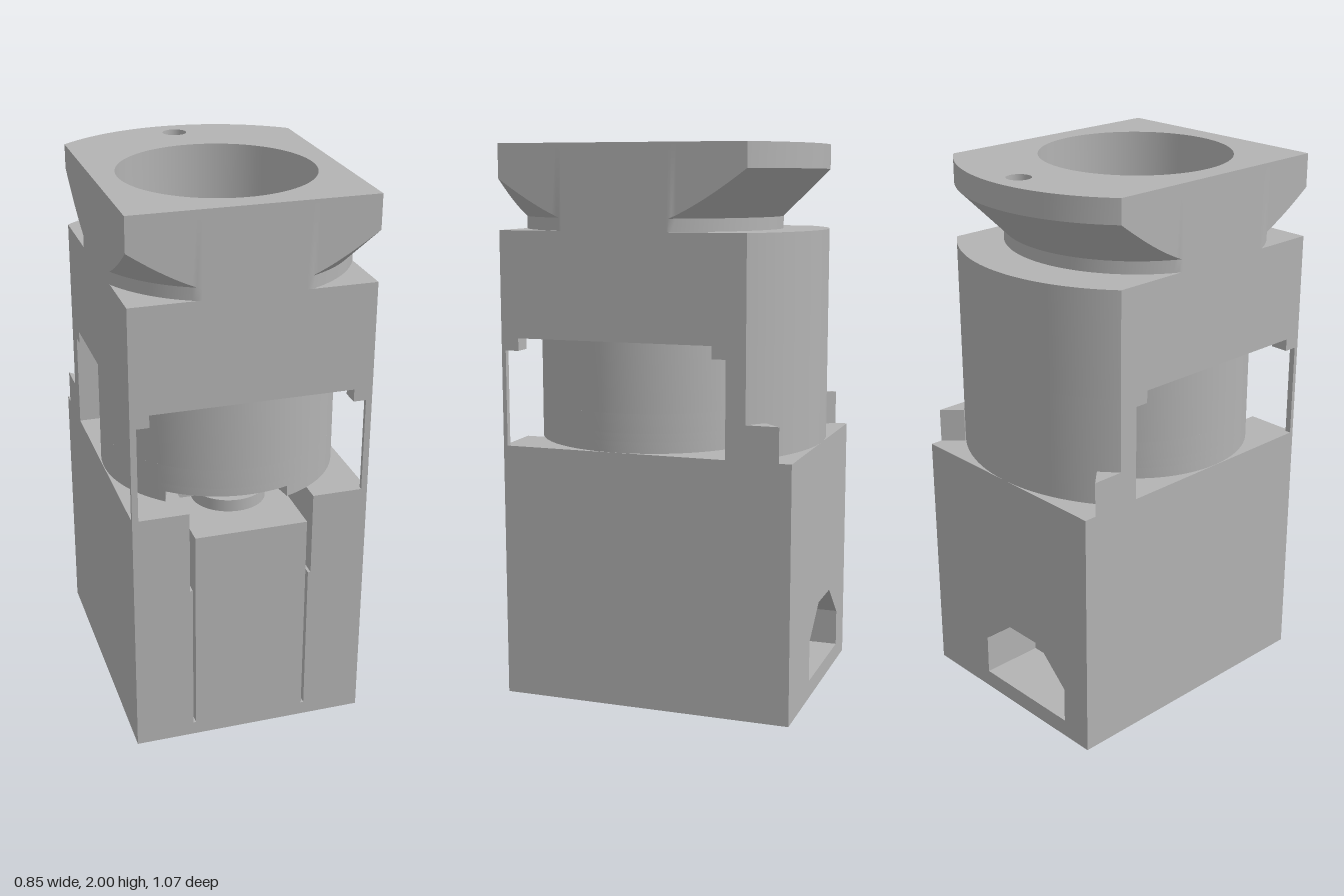
import * as THREE from 'three';
import { toCreasedNormals } from 'three/addons/utils/BufferGeometryUtils.js';

const W = 0.427, D = 0.535;      // half width and half depth
const CZ = 0.105;                // z of the bore axis
const R_BACK = 0.64, R_DRUM = 0.425, R_BORE = 0.345, R_NECK = 0.472;
const FLOOR = 1.0;               // bore floor height

export function createModel() {
  const group = new THREE.Group();
  const grey = new THREE.MeshStandardMaterial({ color: 0xb3b3b3, side: THREE.DoubleSide });
  grey.name = 'plain grey';

  const add = (name, geo, x = 0, y = 0, z = 0) => {
    const mesh = new THREE.Mesh(geo, grey);
    mesh.name = name;
    mesh.position.set(x, y, z);
    group.add(mesh);
    return mesh;
  };
  const box = (name, x0, x1, y0, y1, z0, z1) =>
    add(name, new THREE.BoxGeometry(x1 - x0, y1 - y0, z1 - z0), (x0 + x1) / 2, (y0 + y1) / 2, (z0 + z1) / 2);
  const poly = (pts) => new THREE.Shape(pts.map(([a, b]) => new THREE.Vector2(a, b)));
  // plan shapes are drawn with (x, z) and stand upright from y0 to y1
  const plan = (pts) => poly(pts.map(([x, z]) => [x, -z]));
  const slab = (name, shape, y0, y1) => {
    const g = new THREE.ExtrudeGeometry(shape, { depth: y1 - y0, bevelEnabled: false });
    g.rotateX(-Math.PI / 2);
    return add(name, toCreasedNormals(g, 0.5), 0, y0, 0);
  };
  // elevation shapes are drawn with (x, y) and run from z0 to z1
  const wall = (name, shape, z0, z1) =>
    add(name, new THREE.ExtrudeGeometry(shape, { depth: z1 - z0, bevelEnabled: false }), 0, 0, z0);
  const arc = (r, a0, a1, n = 64, z = CZ) => Array.from({ length: n + 1 }, (_, i) => {
    const a = a0 + (a1 - a0) * i / n;
    return [r * Math.cos(a), z + r * Math.sin(a)];
  });
  const circle = (r, z = CZ, n = 96) => arc(r, 0, Math.PI * 2 * (n - 1) / n, n - 1, z);
  const withHoles = (shape, ...holes) => {
    shape.holes.push(...holes.map((h) => plan(h)));
    return shape;
  };

  // Outline of the upper block: straight front and sides, rounded back
  const backAngle = Math.acos(W / R_BACK);
  const backArc = arc(R_BACK, -Math.PI + backAngle, -backAngle);
  const outline = [[W, D], [-W, D], ...backArc];

  // ---- Lower housing ----
  const backWall = poly([[-W, 0], [W, 0], [W, 0.93], [-W, 0.93]]);
  backWall.holes.push(poly([[0.135, 0.065], [0.135, 0.215], [0, 0.325], [-0.17, 0.325], [-0.305, 0.2], [-0.305, 0.065]]));
  wall('housingBackWithCableOpening', backWall, -D, -0.3);
  box('housingCore', -W, W, 0, 0.93, -0.3, -0.1);
  const notch = [[0.225, 0.93], [0.225, 0.62], [0.215, 0.62], [0.215, 0.05], [0.205, 0.05], [0.205, 0.83]];
  const mirrored = notch.map(([x, y]) => [-x, y]).reverse();
  wall('housingFrontWithMotor', poly([[-W, 0], [W, 0], [W, 0.93], ...notch, ...mirrored, [-W, 0.93]]), -0.1, D);

  // Motor boss and shaft in the recess
  add('motorBoss', new THREE.CylinderGeometry(0.135, 0.135, 0.045, 48), 0, 0.8525, CZ + 0.15);
  add('motorShaft', new THREE.CylinderGeometry(0.06, 0.06, 0.07, 32), 0, 0.88, CZ + 0.15);
  box('motorPlate', -0.22, 0.22, 0.9, 0.97, -0.1, 0.36);

  // Locating tabs at the back corners
  for (const s of [-1, 1]) {
    slab('cornerTab', plan([[s * W, -0.37], [s * W, -0.49], [s * 0.365, -0.425]]), 0.93, 1.055);
  }

  // ---- Drum inside the window ----
  const skirt = circle(R_DRUM).map(([x, z]) => (z > 0.3 && x > -0.27 && x < 0.13 ? [x, 0.36] : [x, z]));
  slab('drumSkirt', plan(skirt), 0.93, 0.97);
  slab('drumFloor', plan(circle(R_DRUM)), 0.97, FLOOR);
  slab('drumLower', withHoles(plan(circle(R_DRUM)), circle(R_BORE)), FLOOR, 1.07);
  const flat = Math.asin(0.365 / R_DRUM);
  slab('drumUpper', withHoles(plan(arc(R_DRUM, -flat, Math.PI + flat, 90)), circle(R_BORE)), 1.07, 1.32);

  // Sloping lip over the slot behind the drum
  const lip = new THREE.ExtrudeGeometry(poly([[0.255, 1.19], [0.3, 1.27], [0.3, 1.32], [0.255, 1.32]]), { depth: 0.44, bevelEnabled: false });
  lip.rotateY(Math.PI / 2);
  add('slotLip', lip, -0.22, 0, 0);

  // ---- Window frame ----
  slab('backBlock', plan([[W, -0.3], [-W, -0.3], ...backArc]), 0.93, 1.32);
  for (const s of [-1, 1]) {
    const [a, b] = s > 0 ? [0.36, W] : [-W, -0.36];
    const [c, d] = s > 0 ? [0.405, W] : [-W, -0.405];
    box('frontRoofStep', a, b, 1.275, 1.32, 0.47, D);
    box('backRoofStep', a, b, 1.275, 1.32, -0.3, -0.25);
    box('cornerPost', c, d, 0.93, 1.275, 0.52, D);
  }
  slab('upperBlock', withHoles(plan(outline), circle(R_BORE)), 1.32, 1.7);

  // ---- Mounting head with conical dovetail groove ----
  const reach = (a) => {
    const c = Math.abs(Math.cos(a)), s = Math.sin(a);
    return Math.min(R_BACK, W / Math.max(c, 1e-6), s > 0 ? (D - CZ) / Math.max(s, 1e-6) : 9);
  };
  const side = Math.acos(W / R_NECK), front = Math.asin((D - CZ) / R_NECK);
  const keys = [Math.atan2(D - CZ, W), -backAngle, side, -side, front];
  const angles = [...keys, ...keys.map((a) => Math.PI - a)].map((a) => (a + Math.PI * 2) % (Math.PI * 2));
  for (let i = 0; i < 192; i++) angles.push(i / 192 * Math.PI * 2);
  angles.sort((a, b) => a - b);
  const pos = [], idx = [];
  angles.forEach((a, i) => {
    const r = reach(a), neck = Math.min(r, R_NECK);
    const rings = [[neck, 1.7], [neck, 1.745], [r, 1.745 + r - neck], [r, 2]];
    for (const [q, y] of rings) pos.push(q * Math.cos(a), y, CZ + q * Math.sin(a));
    const p = i * 4, n = ((i + 1) % angles.length) * 4;
    for (let k = 0; k < 3; k++) idx.push(p + k, p + k + 1, n + k, n + k, p + k + 1, n + k + 1);
  });
  const head = new THREE.BufferGeometry();
  head.setAttribute('position', new THREE.Float32BufferAttribute(pos, 3));
  head.setIndex(idx);
  add('dovetailHead', toCreasedNormals(head, 0.5));

  const top = new THREE.ShapeGeometry(withHoles(plan(outline), circle(R_BORE), circle(0.044, -0.43, 32)));
  top.rotateX(-Math.PI / 2);
  add('headTop', top, 0, 2, 0);
  add('headBore', new THREE.CylinderGeometry(R_BORE, R_BORE, 0.3, 96, 1, true), 0, 1.85, CZ);
  add('pinHole', new THREE.CylinderGeometry(0.044, 0.044, 0.13, 32, 1, true), 0, 1.935, -0.43);
  const pinFloor = new THREE.CircleGeometry(0.044, 32);
  pinFloor.rotateX(-Math.PI / 2);
  add('pinHoleFloor', pinFloor, 0, 1.87, -0.43);

  // ---- Screws on the bore floor ----
  const disc = (name, r, h, x, z, n = 32) => add(name, new THREE.CylinderGeometry(r, r, h, n), x, FLOOR + h / 2, z);
  disc('hubFlange', 0.097, 0.01, 0, CZ, 48);
  disc('hubScrew', 0.063, 0.03, 0, CZ);
  disc('hubHex', 0.032, 0.034, 0, CZ, 6);
  disc('capScrew', 0.058, 0.02, 0.13, -0.025);
  disc('capScrewHex', 0.032, 0.024, 0.13, -0.025, 6);
  for (const [x, z] of [[-0.13, -0.025], [-0.13, 0.235], [0.13, 0.235]]) disc('smallScrew', 0.037, 0.02, x, z);

  return group;
}
